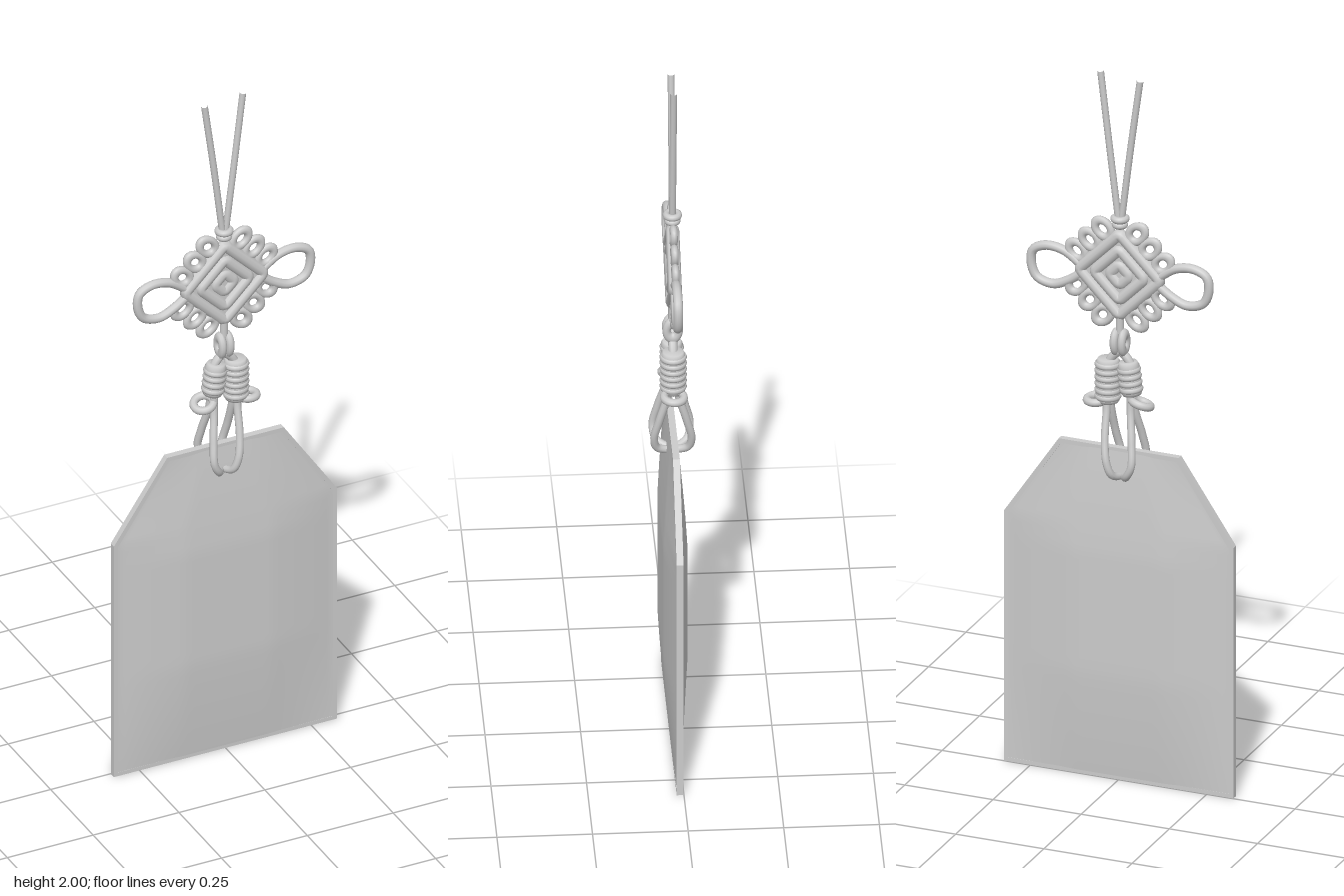
import * as THREE from 'three';

const mat = new THREE.MeshStandardMaterial({ color: 0xcccccc });
const Z = 0.01; // centre plane of the plate and knot

const v = (x, y, z = Z) => new THREE.Vector3(x, y, z);

function add(parent, name, geometry, x = 0, y = 0, z = 0) {
  const mesh = new THREE.Mesh(geometry, mat);
  mesh.name = name;
  mesh.position.set(x, y, z);
  parent.add(mesh);
  return mesh;
}

// Round cord through a list of points
function cord(parent, name, points, radius, closed = false, segments = 48) {
  const curve = new THREE.CatmullRomCurve3(points, closed, 'centripetal');
  return add(parent, name, new THREE.TubeGeometry(curve, segments, radius, 10, closed));
}

// Pillow-shaped plate with two cut upper corners
function plateGeometry() {
  const H = 0.94, n = 40, pos = [], idx = [];
  const ys = [0, 0.012];
  for (let i = 1; i < 30; i++) ys.push(0.012 + (0.71 - 0.012) * i / 30);
  for (let i = 0; i <= 12; i++) ys.push(0.71 + 0.218 * i / 12);
  ys.push(H);
  const halfWidth = y => y <= 0.71 ? 0.325 : 0.325 - 0.155 * (y - 0.71) / (H - 0.71);
  const ramp = t => { const c = Math.min(1, Math.max(0, t)); return c * (1.35 - 0.35 * c); };
  const row = n + 1;
  for (const side of [1, -1]) {
    const base = pos.length / 3;
    ys.forEach((y, j) => {
      const w = halfWidth(y);
      for (let i = 0; i <= n; i++) {
        const s = -1 + 2 * i / n;
        const across = ramp((0.95 - Math.abs(s)) / 0.57);
        const along = ramp(Math.min(y, H - y) / 0.3);
        const bulge = 0.008 + 0.024 * across * along;
        pos.push(s * w, y, Z + side * bulge);
        if (i < n && j < ys.length - 1) {
          const a = base + j * row + i, b = a + 1, c = a + row, d = c + 1;
          if (side > 0) idx.push(a, b, d, a, d, c);
          else idx.push(a, d, b, a, c, d);
        }
      }
    });
  }
  const g = new THREE.BufferGeometry();
  g.setAttribute('position', new THREE.Float32BufferAttribute(pos, 3));
  g.setIndex(idx);
  g.computeVertexNormals();
  return g;
}

// Thin rim closing the plate's outline
function rimGeometry() {
  const outline = [[-0.325, 0], [0.325, 0], [0.325, 0.71], [0.17, 0.94], [-0.17, 0.94], [-0.325, 0.71]];
  const shape = new THREE.Shape(outline.map(p => new THREE.Vector2(...p)));
  const inner = outline.map(([x, y]) => new THREE.Vector2(x * 0.965, 0.45 + (y - 0.45) * 0.975));
  shape.holes.push(new THREE.Path(inner));
  return new THREE.ExtrudeGeometry(shape, { depth: 0.018, bevelEnabled: false });
}

function buildKnot(parent) {
  const knot = new THREE.Group();
  knot.name = 'decorativeKnot';
  knot.position.set(0, 1.43, Z);
  parent.add(knot);

  // Woven diamond: solid core with concentric square ridges
  const core = add(knot, 'knotCore', new THREE.BoxGeometry(0.165, 0.165, 0.014));
  core.rotation.z = Math.PI / 4;
  for (const r of [0.115, 0.072, 0.029]) {
    const path = new THREE.CurvePath();
    const k = 0.012;
    const corners = [v(r, 0, 0), v(0, r, 0), v(-r, 0, 0), v(0, -r, 0)];
    corners.forEach((c, i) => {
      const next = corners[(i + 1) % 4], after = corners[(i + 2) % 4];
      const dir = next.clone().sub(c).normalize();
      const dir2 = after.clone().sub(next).normalize();
      const a = c.clone().addScaledVector(dir, k), b = next.clone().addScaledVector(dir, -k);
      path.add(new THREE.LineCurve3(a, b));
      path.add(new THREE.QuadraticBezierCurve3(b, next, next.clone().addScaledVector(dir2, k)));
    });
    const ridge = add(knot, 'knotRidge', new THREE.TubeGeometry(path, 96, 0.017, 10, true));
    ridge.scale.z = r < 0.05 ? 0.85 : 1.05;
  }

  // Three small petals on each of the four edges
  for (let e = 0; e < 4; e++) {
    const edge = new THREE.Group();
    edge.name = 'petalRow';
    edge.rotation.z = Math.PI / 4 + e * Math.PI / 2;
    knot.add(edge);
    for (const t of [-0.052, 0, 0.052]) {
      const petal = add(edge, 'petal', new THREE.TorusGeometry(0.02, 0.01, 10, 24), 0.12, t, 0);
      petal.scale.x = 1.3;
    }
  }

  // Large side loops
  for (const s of [1, -1]) {
    cord(knot, s > 0 ? 'leftLoop' : 'rightLoop', [
      [0.11, 0.01], [0.16, 0.042], [0.21, 0.048], [0.246, 0.03],
      [0.251, -0.01], [0.235, -0.045], [0.19, -0.058], [0.145, -0.04], [0.11, -0.015],
    ].map(([x, y]) => v(s * x, y, 0)), 0.0125);
  }
}

// Sleeve, bead ring and hanging cord loop of one strand
function buildStrand(parent, o) {
  const strand = new THREE.Group();
  strand.name = o.name;
  parent.add(strand);
  const r = o.radius, h = o.top - o.bottom;
  const profile = [[0, 0], [r * 0.85, 0], [r, 0.01], [r, h - 0.012], [r * 0.8, h], [0, h]];
  const sleeve = add(strand, 'sleeve',
    new THREE.LatheGeometry(profile.map(p => new THREE.Vector2(...p)), 24), o.x, o.bottom, Z);
  sleeve.rotation.z = o.lean;
  // Wound cord turns around the sleeve
  for (let y = 0.016; y < h - 0.008; y += 0.018) {
    const turn = add(sleeve, 'sleeveTurn', new THREE.TorusGeometry(r - 0.006, 0.009, 8, 24), 0, y, 0);
    turn.rotation.x = Math.PI / 2;
  }
  const ring = add(strand, 'beadRing', new THREE.TorusGeometry(0.026, 0.011, 10, 28), o.ringX, o.ringY, Z);
  ring.rotation.set(Math.PI / 2 + o.ringTilt, o.ringTilt, 0);
  const side = s => [
    v(o.x, o.bottom + 0.03, Z + s * 0.01), v(o.x - 0.002, 1.05, Z + s * 0.014),
    v(o.midX, 0.97, Z + s * 0.036), v(o.wideX, 0.91, Z + s * 0.049), v((o.wideX + o.lowX) / 2, 0.875, Z + s * 0.04),
  ];
  cord(strand, 'hangingLoop', [...side(1), v(o.lowX, 0.862, Z), ...side(-1).reverse()], 0.0105, false, 72);
  cord(strand, 'upperCord', [v(0, 1.215), v(o.x * 0.6, 1.195), v(o.x, o.top - 0.015)], 0.012, false, 12);
}

export function createModel() {
  const model = new THREE.Group();
  model.name = 'hangingCharm';

  const plate = new THREE.Group();
  plate.name = 'plate';
  model.add(plate);
  add(plate, 'plateFaces', plateGeometry());
  add(plate, 'plateRim', rimGeometry(), 0, 0, Z - 0.009);

  buildKnot(model);

  // Top cords and the small binding below them
  cord(model, 'rightTopCord', [v(-0.004, 1.58), v(-0.03, 1.79), v(-0.057, 1.987)], 0.009, false, 12);
  cord(model, 'leftTopCord', [v(0.004, 1.58), v(0.03, 1.79), v(0.055, 1.998)], 0.009, false, 12);
  for (const [y, r] of [[1.571, 0.012], [1.588, 0.016]]) {
    const wrap = add(model, 'topBinding', new THREE.TorusGeometry(r, 0.0095, 10, 24), 0, y, Z);
    wrap.rotation.x = Math.PI / 2;
  }

  // Link between knot and strands
  for (const x of [-0.011, 0.011]) {
    const link = add(model, 'linkLoop', new THREE.TorusGeometry(0.016, 0.011, 10, 28), x, 1.238, Z);
    link.rotation.y = Math.PI / 2;
    link.scale.y = 1.45;
  }
  cord(model, 'linkCord', [v(0, 1.32), v(0, 1.265)], 0.011, false, 6);

  buildStrand(model, { name: 'rightStrand', x: -0.034, top: 1.187, bottom: 1.095, radius: 0.029, lean: -0.12,
    ringX: -0.06, ringY: 1.073, ringTilt: 0.25, midX: -0.048, wideX: -0.052, lowX: -0.016 });
  buildStrand(model, { name: 'leftStrand', x: 0.034, top: 1.187, bottom: 1.065, radius: 0.033, lean: 0,
    ringX: 0.066, ringY: 1.066, ringTilt: -0.06, midX: 0.028, wideX: 0.018, lowX: -0.004 });

  return model;
}
